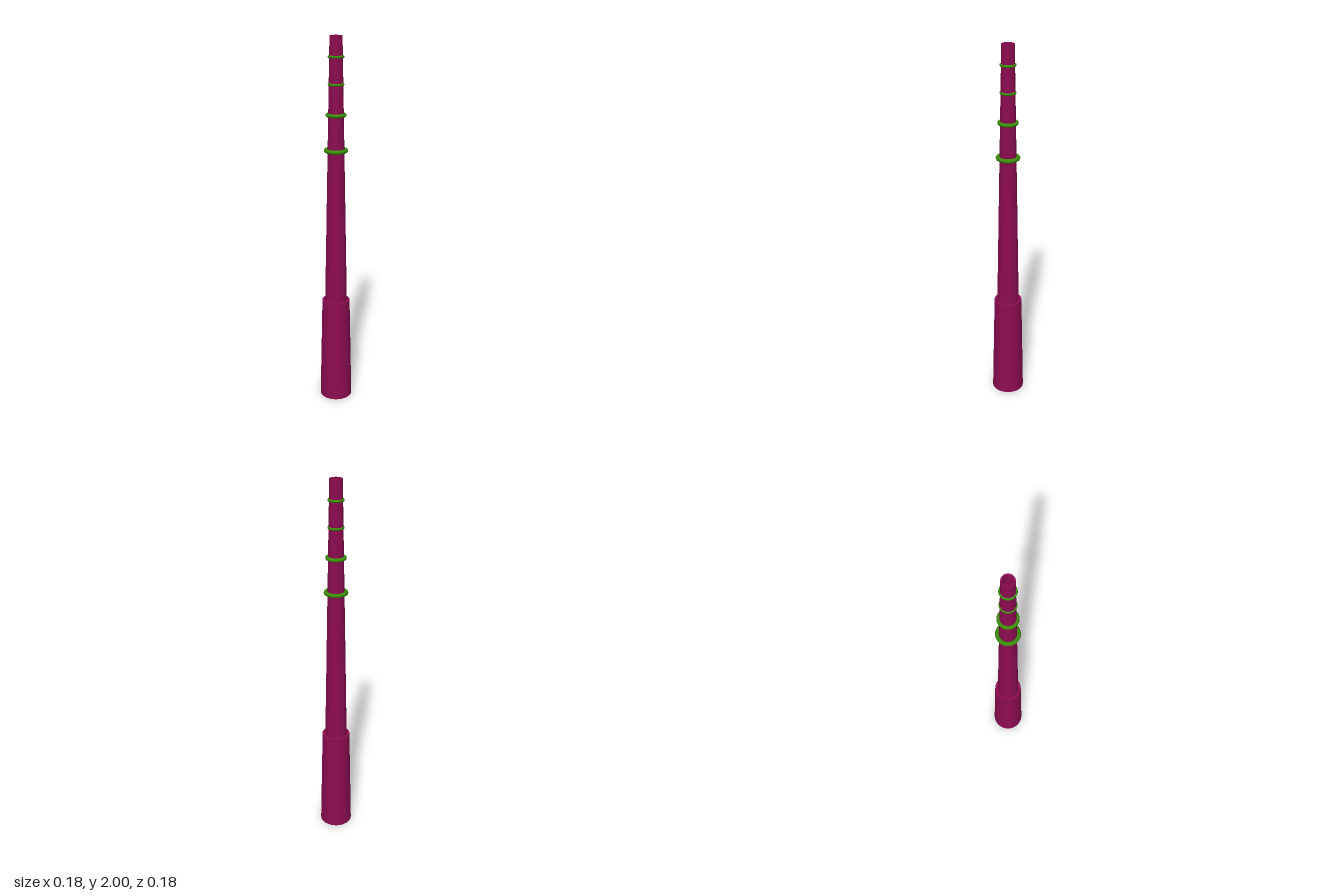
import * as THREE from 'three';
import { toCreasedNormals } from 'three/addons/utils/BufferGeometryUtils.js';

const SEGMENTS = 64;

// Hollow tapered tube: each end is [y, outerRadius, innerRadius]
function hollowTube(name, [y0, outer0, inner0], [y1, outer1, inner1], material) {
  const profile = [
    [outer0, y0], [outer1, y1], [inner1, y1], [inner0, y0], [outer0, y0],
  ].map(([r, y]) => new THREE.Vector2(r, y));
  const geometry = toCreasedNormals(new THREE.LatheGeometry(profile, SEGMENTS), 0.5);
  const mesh = new THREE.Mesh(geometry, material);
  mesh.name = name;
  return mesh;
}

export function createModel() {
  const model = new THREE.Group();
  model.name = 'taperedPipe';
  const maroon = new THREE.MeshStandardMaterial({ color: 0x8c0c50 });
  const green = new THREE.MeshStandardMaterial({ color: 0x3a8c0c });

  // Thick lower sleeve and the long slim tube rising out of it
  model.add(hollowTube('lowerSleeve', [0, 0.088, 0.058], [0.58, 0.075, 0.049], maroon));
  model.add(hollowTube('upperTube', [0.56, 0.06, 0.049], [2, 0.0325, 0.025], maroon));

  // Binding rings: height, ring radius, thickness radius
  const rings = [
    [1.42, 0.052, 0.011],
    [1.605, 0.044, 0.01],
    [1.76, 0.035, 0.007],
    [1.897, 0.035, 0.007],
  ];
  rings.forEach(([y, radius, thickness], i) => {
    const ring = new THREE.Mesh(new THREE.TorusGeometry(radius, thickness, 16, SEGMENTS), green);
    ring.rotation.x = Math.PI / 2;
    ring.position.y = y;
    ring.name = `bindingRing${i + 1}`;
    model.add(ring);
  });

  return model;
}
